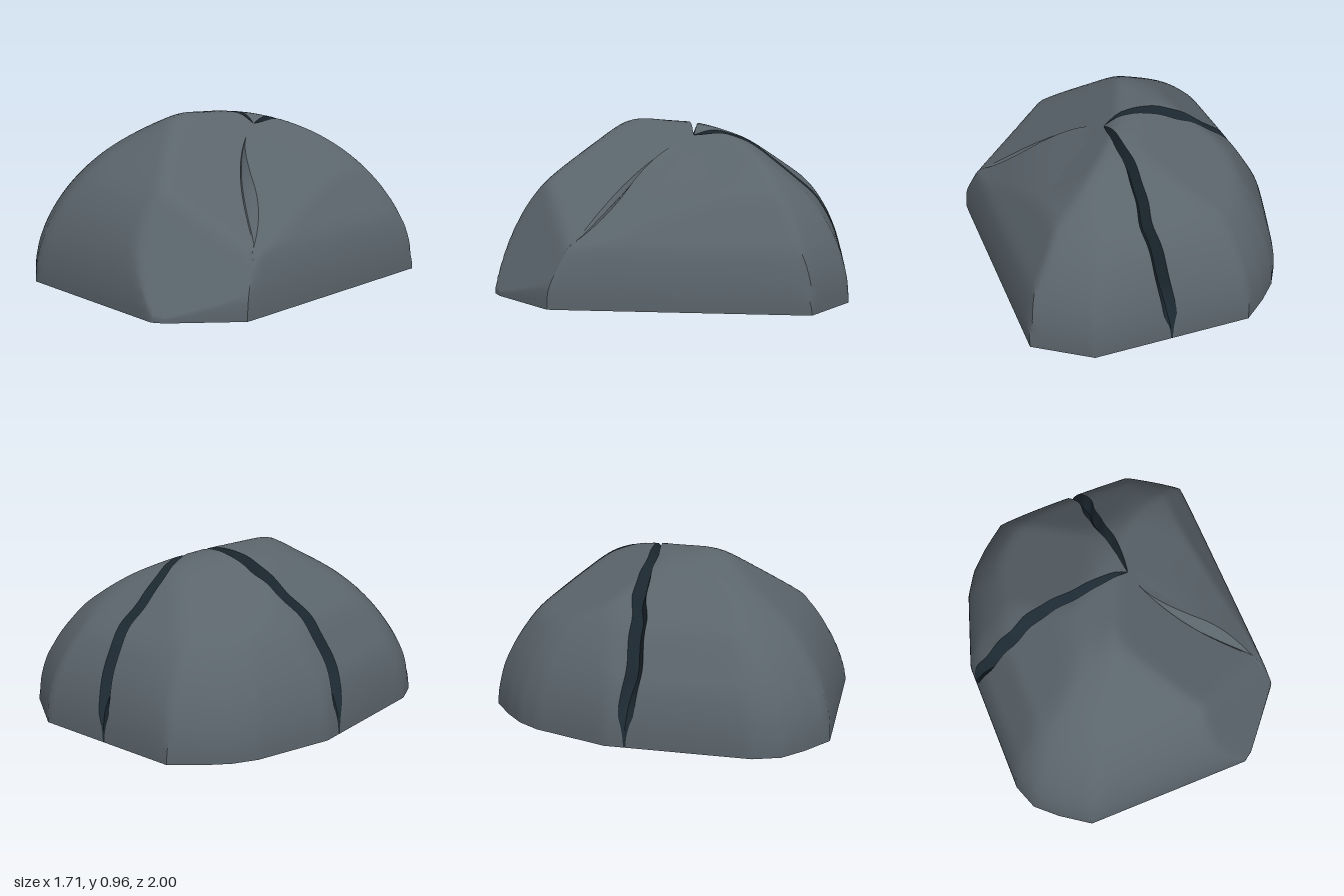
import * as THREE from 'three';
import { toCreasedNormals } from 'three/addons/utils/BufferGeometryUtils.js';

// Footprint on the ground as (x, z) corners
const OUTLINE = [
  [-0.37, -1], [0.55, -1], [0.855, -0.79], [0.855, 0.63], [0.57, 0.96], [0.51, 1], [-0.51, 1],
  [-0.68, 0.88], [-0.8, 0.77], [-0.855, 0.62], [-0.855, -0.2], [-0.71, -0.64], [-0.63, -0.77], [-0.52, -0.88],
];
// Point on top where all the cracks meet
const HUB = [0.17, -0.11];
const RINGS = 44;

const EDGES = OUTLINE.map(([x, z], i) => {
  const [x2, z2] = OUTLINE[(i + 1) % OUTLINE.length];
  const l = Math.hypot(x2 - x, z2 - z);
  const nx = (z2 - z) / l, nz = -(x2 - x) / l;
  return { nx, nz, d: nx * x + nz * z };
});

// Flat cleaved planes: normal and distance from the origin
const CUTS = [
  { n: [0.562, 0.81, 0.164], d: 0.793 }, // front right panel
  { n: [0.58, 0.5, 0.64], d: 0.955 }, // front right corner
  { n: [-0.34, 0.87, -0.36], d: 0.88 }, // back left panel
  { n: [-0.62, 0.78, 0], d: 0.869 }, // upper and lower side bevels
  { n: [0.62, 0.78, 0], d: 0.869 },
  { n: [-0.85, 0.53, 0], d: 0.859 },
  { n: [0.85, 0.53, 0], d: 0.859 },
  { n: [0, 0.79, 0.61], d: 0.95 }, // front and back bevels
  { n: [0, 0.78, -0.62], d: 0.936 },
];

// Minimum with a softly rounded edge
function softMin(a, b, k = 0.025) {
  const h = Math.max(0, k - Math.abs(a - b)) / k;
  return Math.min(a, b) - (h * h * k) / 4;
}

// Dome that is sharp-cornered low down and rounder on top, trimmed by the planes;
// lift raises the front right panel
function height(x, z, lift) {
  const ratios = EDGES.map((e) => Math.max(0, (e.nx * x + e.nz * z) / e.d));
  const g = Math.min(1, Math.max(...ratios));
  const round = ratios.reduce((sum, r) => sum + r ** 12, 0) ** (1 / 12);
  const w = g * g;
  const s = Math.min(1, w * g + (1 - w) * round);
  let y = 0.945 * Math.sqrt(1 - s * s);
  y += 0.05 * Math.exp(-((x + 0.03) ** 2 + (z - 0.3) ** 2) / 0.03) * (1 - w);
  CUTS.forEach(({ n, d }, i) => {
    y = softMin(y, (d + (i ? 0 : lift) - n[0] * x - n[2] * z) / n[1]);
  });
  return Math.max(0, y);
}

// Each crack: its angle, half-width (as an angle), depth along t, and lean of its bottom
const darkWidth = (t) => (0.055 / (t + 0.25)) * Math.min(1, (1 - t) * 50 + 0.15);
const darkDepth = (t) => 0.085 * Math.min(1, t * 4 + 0.3) * Math.min(1, (1 - t) * 14);
const chipAngle = (t) => 0.827 - 0.33 * (1 - t) + 0.78 * (1 - t) ** 2;
const chipSpan = (t) => Math.sin(Math.PI * THREE.MathUtils.clamp((t - 0.1) / 0.75, 0, 1));
const CRACKS = [
  { name: 'frontRightChip', angle: chipAngle,
    half: (t) => 0.07 * chipSpan(t), depth: (t) => 0.025 * chipSpan(t), lean: 0.6 },
  { name: 'leftCrack', angle: (t) => 3.1 + 0.022 * Math.sin(11 * t + 2) + 0.008 * Math.sin(33 * t),
    half: darkWidth, depth: darkDepth, lean: 0, dark: true },
  { name: 'backCrack', angle: (t) => 4.66 + 0.025 * Math.sin(10 * t + 0.5) + 0.008 * Math.sin(29 * t),
    half: darkWidth, depth: darkDepth, lean: 0.4, dark: true },
];

// Surface point at angle a, t from hub (0) to footprint (1), sunk by depth
function surfacePoint(a, t, depth = 0) {
  const cx = Math.cos(a), cz = Math.sin(a);
  let reach = Infinity;
  for (const e of EDGES) {
    const k = e.nx * cx + e.nz * cz;
    if (k > 1e-6) reach = Math.min(reach, (e.d - e.nx * HUB[0] - e.nz * HUB[1]) / k);
  }
  const x = HUB[0] + cx * reach * t, z = HUB[1] + cz * reach * t;
  // The side of the chip towards the back stands a little proud
  const past = THREE.MathUtils.euclideanModulo(chipAngle(t) - a, Math.PI * 2);
  const lift = past > 1e-6 && past < 1.3 ? 0.03 * chipSpan(t) * (1 - past / 1.3) : 0;
  const p = new THREE.Vector3(x, height(x, z, lift), z);
  return p.multiplyScalar(1 - depth / p.length());
}

// Skin a fan of columns; pointAt(column, t) gives each position
function skin(columns, pointAt, crease) {
  const pos = [], index = [];
  for (let i = 0; i < columns; i++) {
    for (let j = 0; j <= RINGS; j++) {
      pos.push(...pointAt(i, Math.sin((j / RINGS) * Math.PI / 2)).toArray());
      if (i && j) {
        const b = i * (RINGS + 1) + j, a = b - RINGS - 1;
        index.push(a - 1, b, a, a - 1, b - 1, b);
      }
    }
  }
  const geo = new THREE.BufferGeometry();
  geo.setAttribute('position', new THREE.Float32BufferAttribute(pos, 3));
  geo.setIndex(index);
  return toCreasedNormals(geo, crease);
}

export function createModel() {
  const rock = new THREE.MeshStandardMaterial({ name: 'slateGrey', color: 0x5a646b });
  const crack = new THREE.MeshStandardMaterial({ name: 'crackBlue', color: 0x1e2b34 });
  const group = new THREE.Group();
  group.name = 'boulder';
  const add = (name, geo, mat) => {
    const mesh = new THREE.Mesh(geo, mat);
    mesh.name = name;
    group.add(mesh);
  };

  CRACKS.forEach((c, k) => {
    // V-shaped crack: rim, sunken middle, rim
    const across = [-1, c.lean, 1];
    add(c.name, skin(3, (i, t) =>
      surfacePoint(c.angle(t) + across[i] * c.half(t), t, i === 1 ? c.depth(t) : 0), 0.4),
    c.dark ? crack : rock);

    // Rock face between this crack and the next, with columns on the footprint corners
    const next = CRACKS[(k + 1) % CRACKS.length];
    const turn = k === CRACKS.length - 1 ? Math.PI * 2 : 0;
    const from = (t) => c.angle(t) + c.half(t);
    const to = (t) => next.angle(t) - next.half(t) + turn;
    const a = from(1), b = to(1);
    const stops = [0, 1];
    for (const [x, z] of OUTLINE) {
      const th = Math.atan2(z - HUB[1], x - HUB[0]);
      for (const full of [th, th + Math.PI * 2]) {
        const u = (full - a) / (b - a);
        if (u > 0.005 && u < 0.995) stops.push(u);
      }
    }
    stops.sort((p, q) => p - q);
    const us = [0];
    for (let i = 1; i < stops.length; i++) {
      const gap = stops[i] - stops[i - 1];
      const n = Math.max(1, Math.ceil((gap * (b - a)) / 0.04));
      for (let m = 1; m <= n; m++) us.push(stops[i - 1] + (gap * m) / n);
    }
    add(['frontFace', 'backLeftFace', 'rightFace'][k], skin(us.length, (i, t) =>
      surfacePoint(THREE.MathUtils.lerp(from(t), to(t), us[i]), t), 0.6), rock);
  });

  // Flat underside
  const base = new THREE.ShapeGeometry(new THREE.Shape(OUTLINE.map(([x, z]) => new THREE.Vector2(x, z))));
  add('underside', base.rotateX(Math.PI / 2), rock);
  return group;
}
